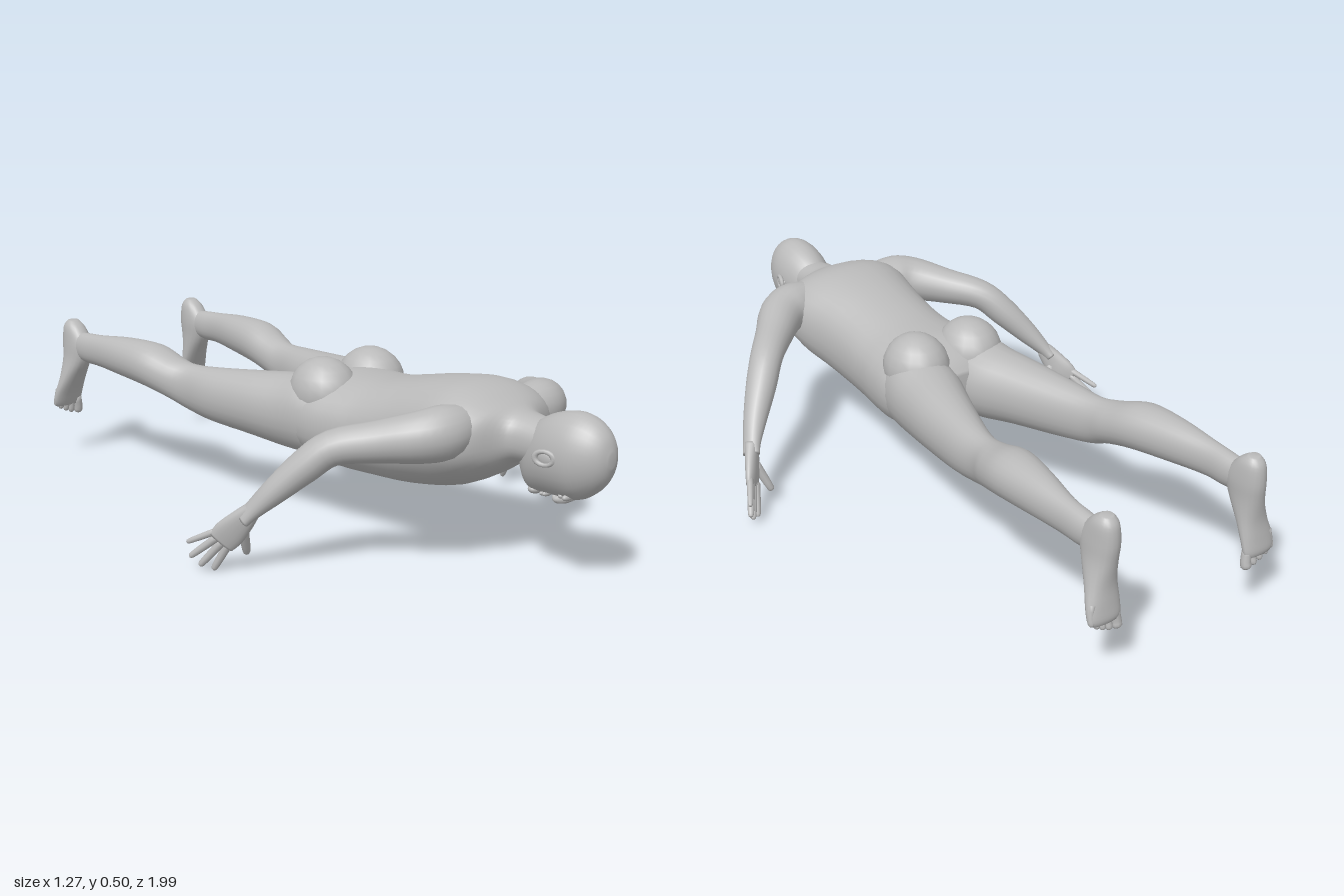
import * as THREE from 'three';

const skin = new THREE.MeshStandardMaterial({ color: 0xbababa });
skin.name = 'plain grey';

const Y = new THREE.Vector3(0, 1, 0);
const Z = new THREE.Vector3(0, 0, 1);

// Smooth in-between value of four neighbouring numbers
function blend(a, b, c, d, t) {
  return 0.5 * (2 * b + (c - a) * t + (2 * a - 5 * b + 4 * c - d) * t * t + (3 * b - a - 3 * c + d) * t * t * t);
}

// Skin over cross-sections [x, y, z, half width, half thickness].
// "up" is the thickness direction; "axis" fixes the section plane if given.
function loft(rows, { up = Y, axis = null, p = 2, sides = 20, steps = 4 } = {}) {
  const at = (i) => rows[Math.min(Math.max(i, 0), rows.length - 1)];
  const rings = [];
  for (let i = 0; i < rows.length - 1; i++) {
    for (let s = 0; s < steps; s++) {
      rings.push(at(i).map((_, k) => blend(at(i - 1)[k], at(i)[k], at(i + 1)[k], at(i + 2)[k], s / steps)));
    }
  }
  rings.push(at(rows.length - 1));
  rings.unshift([...rings[0].slice(0, 3), 0, 0]);
  rings.push([...rings[rings.length - 1].slice(0, 3), 0, 0]);

  const centre = (i) => new THREE.Vector3(...rings[Math.min(Math.max(i, 1), rings.length - 2)].slice(0, 3));
  const round = (n) => Math.sign(n) * Math.abs(n) ** (2 / p);
  const pos = [], index = [];
  rings.forEach((r, i) => {
    const t = axis ? axis.clone() : centre(i + 1).sub(centre(i - 1)).normalize();
    const v = up.clone().addScaledVector(t, -up.dot(t)).normalize();
    const u = v.clone().cross(t);
    for (let j = 0; j < sides; j++) {
      const a = (j / sides) * Math.PI * 2;
      const q = new THREE.Vector3(r[0], r[1], r[2])
        .addScaledVector(u, round(Math.cos(a)) * r[3])
        .addScaledVector(v, round(Math.sin(a)) * r[4]);
      pos.push(q.x, q.y, q.z);
      if (i < rings.length - 1) {
        const k = (j + 1) % sides, A = i * sides, B = A + sides;
        index.push(A + j, A + k, B + j, A + k, B + k, B + j);
      }
    }
  });
  const g = new THREE.BufferGeometry();
  g.setAttribute('position', new THREE.Float32BufferAttribute(pos, 3));
  g.setIndex(index);
  g.computeVertexNormals();
  return g;
}

// Section along the body from its extents: z, inner x, outer x, top, bottom
const span = (z, x0, x1, top, bottom) =>
  [(x0 + x1) / 2, (top + bottom) / 2, z, (x1 - x0) / 2, (top - bottom) / 2];

export function createModel() {
  const model = new THREE.Group();
  model.name = 'lyingFigure';
  const add = (name, geometry) => {
    const m = new THREE.Mesh(geometry, skin);
    m.name = name;
    model.add(m);
    return m;
  };
  const ball = (name, c, r) => {
    const m = add(name, new THREE.SphereGeometry(1, 18, 12));
    m.position.set(...c);
    m.scale.set(...r);
    return m;
  };

  // Torso from hips to neck: z, half width, top, bottom
  const torso = [
    [-0.04, 0.12, 0.37, 0.23], [0.0, 0.185, 0.41, 0.2], [0.08, 0.2, 0.44, 0.175],
    [0.17, 0.19, 0.442, 0.168], [0.25, 0.178, 0.447, 0.168], [0.35, 0.175, 0.467, 0.173],
    [0.45, 0.185, 0.488, 0.188], [0.55, 0.205, 0.499, 0.212], [0.62, 0.205, 0.487, 0.245],
    [0.67, 0.165, 0.465, 0.28], [0.705, 0.09, 0.447, 0.305], [0.74, 0.066, 0.44, 0.312], [0.82, 0.062, 0.43, 0.31],
  ].map(([z, w, t, b]) => span(z, -w, w, t, b));
  add('torso', loft(torso, { axis: Z, p: 2.25, sides: 32 }));

  // Head, face down: z, half width, back of skull, face
  const head = [
    [0.722, 0.022, 0.345, 0.28], [0.745, 0.044, 0.395, 0.25], [0.77, 0.06, 0.43, 0.243],
    [0.81, 0.074, 0.455, 0.245], [0.86, 0.082, 0.472, 0.246], [0.91, 0.08, 0.475, 0.25],
    [0.955, 0.064, 0.458, 0.277], [0.985, 0.04, 0.428, 0.313], [0.998, 0.014, 0.39, 0.352],
  ].map(([z, w, t, b]) => span(z, -w, w, t, b));
  add('head', loft(head, { axis: Z, sides: 28 }));
  add('nose', loft([[0, 0.25, 0.885, 0.007, 0.008], [0, 0.238, 0.855, 0.011, 0.012], [0, 0.234, 0.834, 0.017, 0.011], [0, 0.243, 0.824, 0.01, 0.006]], { sides: 12 }));
  ball('upperLip', [0, 0.242, 0.803], [0.023, 0.008, 0.007]);
  ball('lowerLip', [0, 0.241, 0.791], [0.02, 0.008, 0.007]);
  ball('chin', [0, 0.246, 0.763], [0.027, 0.014, 0.018]);

  for (const s of [1, -1]) {
    const side = s > 0 ? 'left' : 'right';
    const flip = (rows) => rows.map(([x, ...rest]) => [x * s, ...rest]);

    // Face details
    ball(side + 'Eye', [s * 0.031, 0.259, 0.872], [0.014, 0.008, 0.009]);
    ball(side + 'Brow', [s * 0.031, 0.26, 0.892], [0.024, 0.01, 0.009]);
    const ear = add(side + 'Ear', new THREE.TorusGeometry(0.021, 0.007, 8, 16));
    ear.position.set(s * 0.087, 0.364, 0.853);
    ear.rotation.y = Math.PI / 2 - s * 0.3;
    ear.scale.set(1.2, 0.85, 1);
    ball(side + 'EarBowl', [s * 0.083, 0.362, 0.853], [0.006, 0.017, 0.024]);

    // Buttock and leg
    ball(side + 'Buttock', [s * 0.093, 0.385, 0.062], [0.094, 0.099, 0.105]);
    const leg = [
      [0.13, 0.02, 0.18, 0.41, 0.2], [0.05, 0.003, 0.203, 0.435, 0.2], [-0.04, 0.007, 0.216, 0.424, 0.205],
      [-0.15, 0.05, 0.23, 0.413, 0.22], [-0.3, 0.108, 0.24, 0.4, 0.235], [-0.4, 0.141, 0.24, 0.395, 0.253],
      [-0.47, 0.142, 0.266, 0.407, 0.28], [-0.56, 0.146, 0.288, 0.435, 0.302], [-0.68, 0.173, 0.285, 0.436, 0.315],
      [-0.8, 0.203, 0.275, 0.425, 0.325], [-0.87, 0.207, 0.273, 0.42, 0.326], [-0.93, 0.212, 0.268, 0.415, 0.335],
    ].map((r) => span(...r));
    add(side + 'Leg', loft(flip(leg), { axis: Z.clone().negate(), p: 2.1, sides: 24 }));

    // Foot hanging down, sole to the rear: y, centre x, half width, instep z, sole z
    const foot = [
      [0.452, 0.24, 0.016, -0.935, -0.965], [0.43, 0.24, 0.03, -0.905, -0.983], [0.38, 0.24, 0.036, -0.87, -0.99],
      [0.33, 0.243, 0.037, -0.88, -0.986], [0.27, 0.25, 0.044, -0.917, -0.982], [0.22, 0.256, 0.05, -0.945, -0.988],
      [0.185, 0.258, 0.05, -0.96, -0.993], [0.17, 0.257, 0.042, -0.967, -0.99],
    ].map(([y, x, w, z0, z1]) => [x, y, (z0 + z1) / 2, w, (z0 - z1) / 2]);
    add(side + 'Foot', loft(flip(foot), { axis: Y.clone().negate(), up: Z, p: 2.2 }));
    [[0.218, 0.137, 0.014], [0.243, 0.142, 0.0095], [0.263, 0.15, 0.009], [0.282, 0.16, 0.009], [0.299, 0.173, 0.0085]]
      .forEach(([x, y, r], i) => {
        const root = 0.258 + (x - 0.258) * 0.85;
        const toe = [[root, y + 0.055, -0.973, r, r], [x, y + 0.022, -0.976, r, r], [x, y + 0.006, -0.98, r, r], [x, y, -0.982, r * 0.5, r * 0.5]];
        add(side + 'Toe' + (i + 1), loft(flip(toe), { up: Z, sides: 10, steps: 2 }));
      });

    // Arm, bent at the elbow
    const arm = [
      [0.12, 0.4, 0.605, 0.06, 0.06], [0.185, 0.397, 0.603, 0.072, 0.072], [0.245, 0.39, 0.573, 0.067, 0.068],
      [0.315, 0.376, 0.495, 0.056, 0.055], [0.39, 0.357, 0.41, 0.049, 0.046], [0.44, 0.305, 0.357, 0.046, 0.044],
      [0.495, 0.237, 0.302, 0.036, 0.034], [0.533, 0.185, 0.26, 0.028, 0.022], [0.548, 0.16, 0.24, 0.028, 0.018],
    ];
    add(side + 'Arm', loft(flip(arm), { up: new THREE.Vector3(s * 0.3, 1, 0.3).normalize() }));

    // Hand, flattened between palm and back
    const back = new THREE.Vector3(s * 0.68, 0, 0.73);
    const palm = [[0.533, 0.185, 0.26, 0.024, 0.02], [0.55, 0.15, 0.233, 0.035, 0.018], [0.567, 0.115, 0.205, 0.042, 0.016], [0.58, 0.09, 0.187, 0.038, 0.012]];
    add(side + 'Palm', loft(flip(palm), { up: back, p: 2.3 }));

    // Fingers: root, tip, radius
    [
      [[0.545, 0.14, 0.235], [0.507, 0.045, 0.205], 0.0125],
      [[0.56, 0.09, 0.2], [0.583, 0.006, 0.157], 0.0105],
      [[0.573, 0.097, 0.193], [0.61, 0.018, 0.134], 0.0105],
      [[0.583, 0.108, 0.185], [0.627, 0.042, 0.114], 0.01],
      [[0.587, 0.122, 0.182], [0.63, 0.082, 0.107], 0.0085],
    ].forEach(([a, b, r], i) => {
      const finger = [[0, 1.15], [0.5, 1.05], [0.92, 0.85], [1, 0.4]]
        .map(([t, k]) => [...a.map((n, j) => n + (b[j] - n) * t), r * k, r * k]);
      add(side + (i ? 'Finger' + i : 'Thumb'), loft(flip(finger), { up: back, sides: 10, steps: 2 }));
    });
  }
  return model;
}
